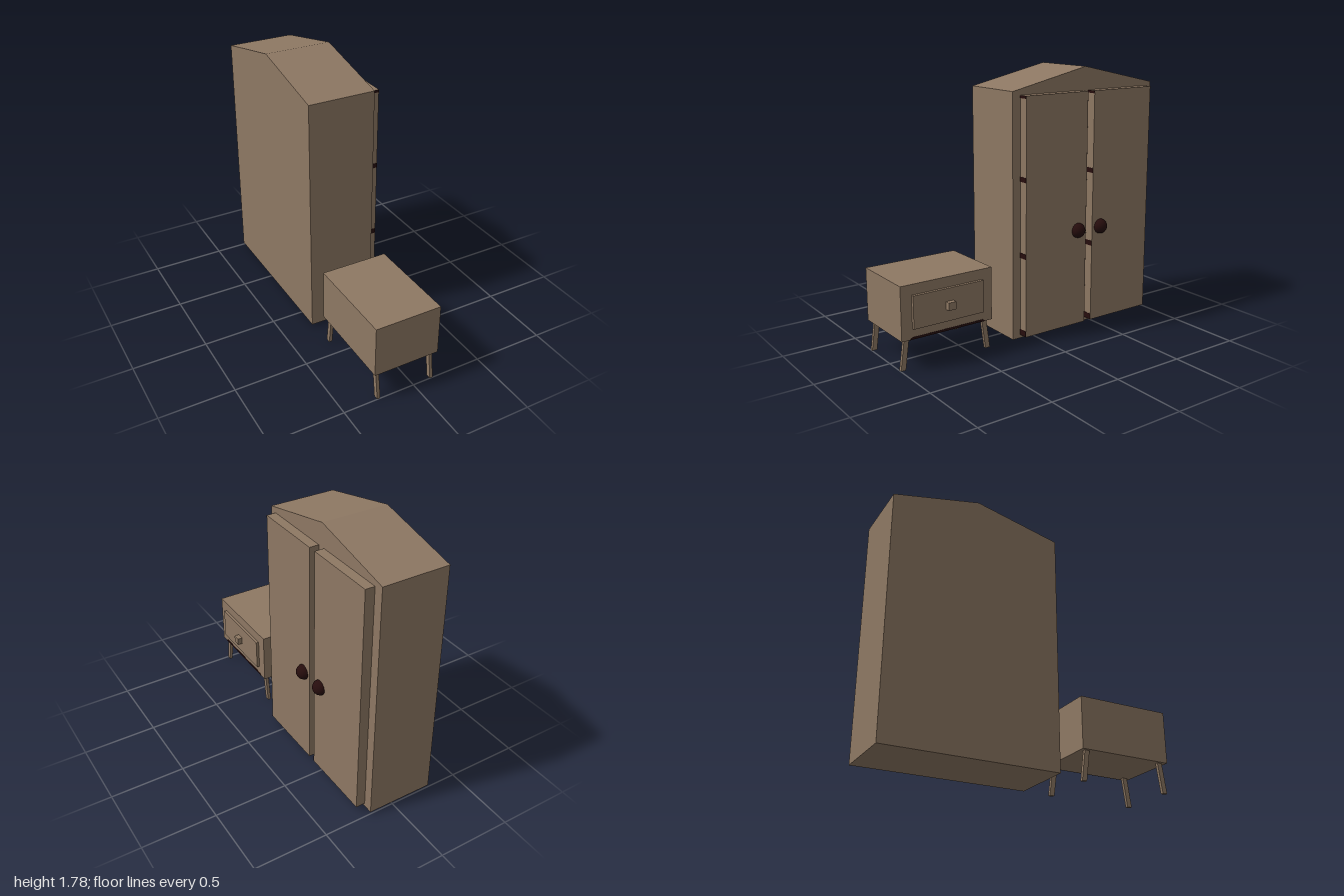
import * as THREE from 'three';

const wood = new THREE.MeshStandardMaterial({ color: 0x8e7863 });
wood.name = 'brown wood';
const dark = new THREE.MeshStandardMaterial({ color: 0x260d0d });
dark.name = 'dark wood';

function add(parent, name, geometry, material = wood) {
  const mesh = new THREE.Mesh(geometry, material);
  mesh.name = name;
  parent.add(mesh);
  return mesh;
}

// Box given by its minimum and maximum on each axis
function box(parent, name, [x0, x1], [y0, y1], [z0, z1], material) {
  const geometry = new THREE.BoxGeometry(x1 - x0, y1 - y0, z1 - z0);
  geometry.translate((x0 + x1) / 2, (y0 + y1) / 2, (z0 + z1) / 2);
  return add(parent, name, geometry, material);
}

// Outline of [z, y] points, extruded along x from x0 to x1
function panel(parent, name, points, x0, x1, material) {
  const shape = new THREE.Shape(points.map(([z, y]) => new THREE.Vector2(-z, y)));
  const geometry = new THREE.ExtrudeGeometry(shape, { depth: x1 - x0, bevelEnabled: false });
  geometry.rotateY(Math.PI / 2).translate(x0, 0, 0);
  return add(parent, name, geometry, material);
}

function buildWardrobe() {
  const wardrobe = new THREE.Group();
  wardrobe.name = 'wardrobe';

  // Gabled cabinet
  panel(wardrobe, 'cabinet',
    [[0.178, 0.015], [-1, 0.015], [-1, 1.655], [-0.41, 1.785], [0.178, 1.655]], -0.288, 0.17);

  // Doors, each with a round knob and dark bands on its edge
  const bands = [[0.04, 0.08], [0.573, 0.608], [1.08, 1.112], [1.612, 1.629]];
  for (const [z0, z1, knobZ] of [[-0.38, 0.12, -0.31], [-0.938, -0.435, -0.505]]) {
    box(wardrobe, 'door', [0.172, 0.236], [0.04, 1.63], [z0, z1]);
    for (const y of bands) box(wardrobe, 'edgeBand', [0.172, 0.2355], y, [z1 - 0.001, z1 + 0.002], dark);
    const knob = add(wardrobe, 'doorKnob', new THREE.SphereGeometry(0.051, 24, 16), dark);
    knob.position.set(0.235, 0.704, knobZ);
  }
  return wardrobe;
}

function buildNightstand() {
  const stand = new THREE.Group();
  stand.name = 'nightstand';
  box(stand, 'body', [-0.288, 0.17], [0.2, 0.552], [0.346, 1]);
  box(stand, 'drawerFront', [0.17, 0.19], [0.27, 0.484], [0.42, 0.925]);
  box(stand, 'drawerKnob', [0.19, 0.224], [0.35, 0.4], [0.645, 0.698]);

  // Dark strip along the lower front edge
  panel(stand, 'lowerStrip', [[0.945, 0.2], [0.4, 0.2], [0.415, 0.215], [0.93, 0.215]], 0.168, 0.172, dark);

  // Legs splayed outwards along z
  for (const x of [-0.266, 0.124]) {
    for (const side of [-1, 1]) {
      const at = (d) => 0.673 + side * d;
      const points = [[at(0.292), 0], [at(0.326), 0], [at(0.298), 0.205], [at(0.264), 0.205]];
      panel(stand, 'leg', points, x, x + 0.022);
    }
  }
  return stand;
}

export function createModel() {
  const model = new THREE.Group();
  model.name = 'bedroomFurniture';
  model.add(buildWardrobe(), buildNightstand());
  return model;
}
